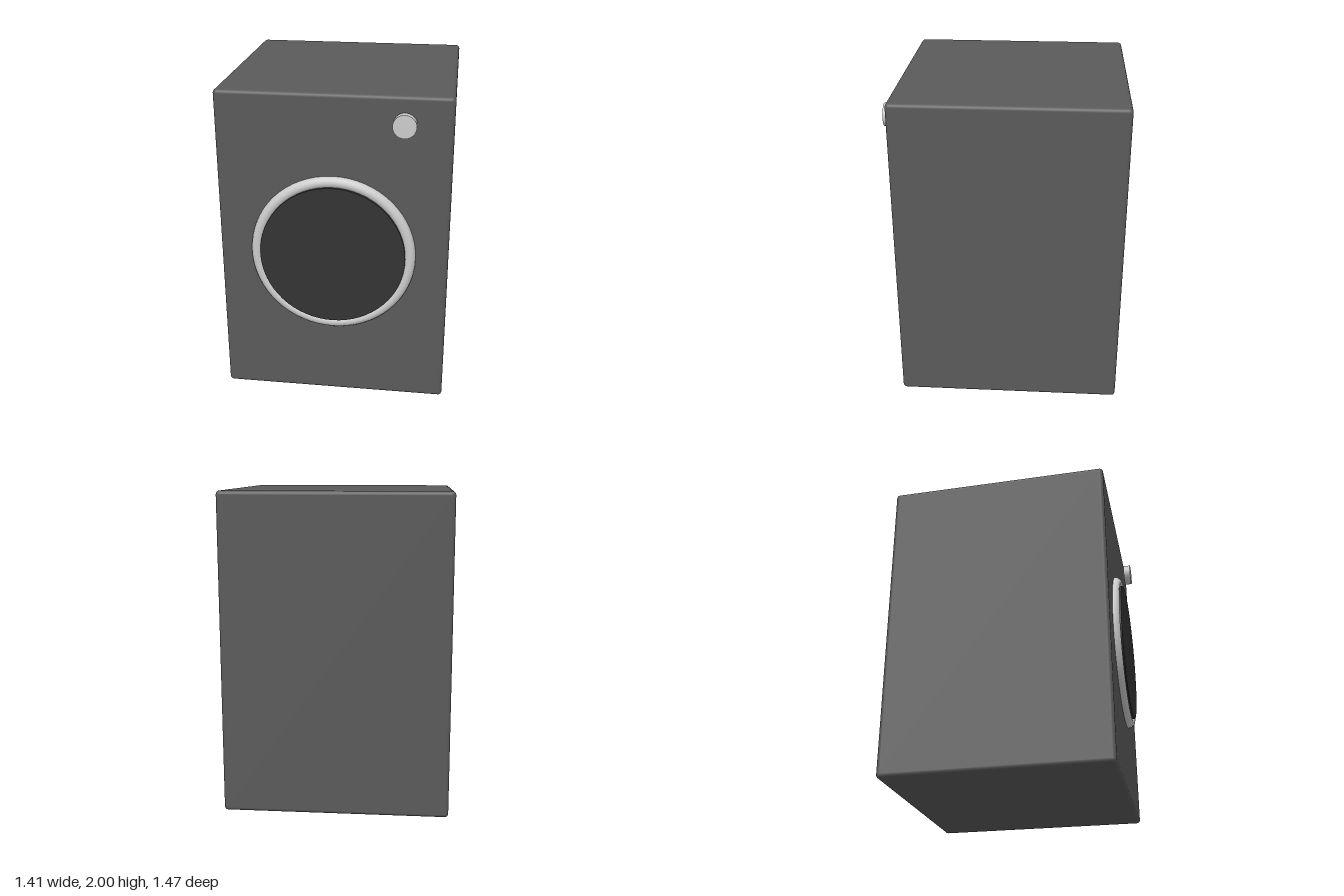
import * as THREE from 'three';
import { RoundedBoxGeometry } from 'three/addons/geometries/RoundedBoxGeometry.js';

const WIDTH = 1.41, HEIGHT = 2, DEPTH = 1.41;
const FRONT = 0.675;   // z of the cabinet's front panel
const DOOR_Y = 0.99;

export function createModel() {
  const model = new THREE.Group();
  model.name = 'washingMachine';

  const grey = new THREE.MeshStandardMaterial({ color: 0xcccccc });
  const darkGrey = new THREE.MeshStandardMaterial({ color: 0x5a5a5a });
  const glassBlack = new THREE.MeshStandardMaterial({ color: 0x333333 });

  const add = (name, geometry, material, x, y, z) => {
    const mesh = new THREE.Mesh(geometry, material);
    mesh.name = name;
    mesh.position.set(x, y, z);
    model.add(mesh);
    return mesh;
  };

  // Disc whose flat faces point along z
  const disc = (radius, thickness, segments) =>
    new THREE.CylinderGeometry(radius, radius, thickness, segments).rotateX(Math.PI / 2);

  // Cabinet with softly rounded edges
  add('cabinet', new RoundedBoxGeometry(WIDTH, HEIGHT, DEPTH, 4, 0.024), darkGrey,
    0, HEIGHT / 2, FRONT - DEPTH / 2);

  // Round door: half-sunk rim and a dark window just proud of it
  add('doorRim', new THREE.TorusGeometry(0.472, 0.036, 16, 64), grey, 0, DOOR_Y, FRONT + 0.004);
  add('doorWindow', disc(0.447, 0.047, 64), glassBlack, 0, DOOR_Y, FRONT + 0.0235);

  // Control knob, standing slightly off the panel
  add('controlKnob', disc(0.07, 0.047, 32), grey, 0.423, 1.837, FRONT + 0.036);

  return model;
}
